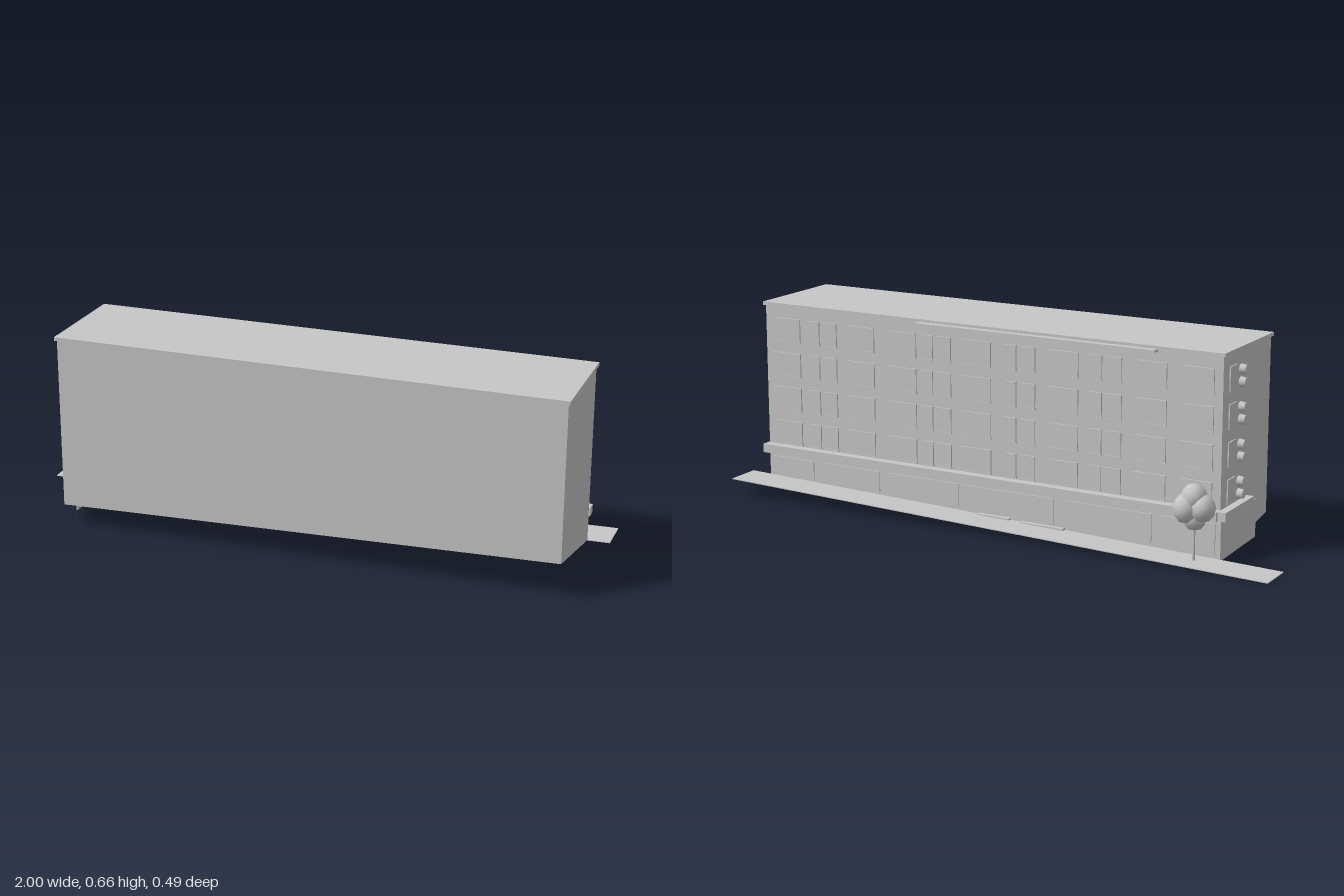
import * as THREE from 'three';

export function createModel() {
  const root = new THREE.Group();
  const grey = new THREE.MeshStandardMaterial({ color: 0xc6c6c6 });
  grey.name = 'plain grey';

  const add = (name, geometry, parent = root) => {
    const mesh = new THREE.Mesh(geometry, grey);
    mesh.name = name;
    parent.add(mesh);
    return mesh;
  };
  const group = (name) => {
    const g = new THREE.Group();
    g.name = name;
    root.add(g);
    return g;
  };
  // Box given by its two extreme corners
  const span = (x0, x1, y0, y1, z0, z1) =>
    new THREE.BoxGeometry(x1 - x0, y1 - y0, z1 - z0)
      .translate((x0 + x1) / 2, (y0 + y1) / 2, (z0 + z1) / 2);
  // Move every vertex height by a rule
  const reshape = (geometry, rule) => {
    const p = geometry.attributes.position;
    for (let i = 0; i < p.count; i++) p.setY(i, rule(p.getX(i), p.getY(i), p.getZ(i)));
    geometry.computeVertexNormals();
    return geometry;
  };
  const pavementY = (x) => 0.03 + 0.026 * x;

  // Main block, its underside following the hillside
  add('buildingBody', reshape(span(-0.785, 0.925, 0, 0.655, -0.125, 0.24), (x, y, z) => {
    if (y > 0.3) return y;
    if (z > 0) return x > 0 ? 0.127 : 0.072;
    return x > 0 ? 0.054 : 0.01;
  }));
  add('roofSlab', span(-0.792, 0.932, 0.655, 0.667, -0.132, 0.247));
  add('roofCanopy', span(-0.565, 0.305, 0.65, 0.658, -0.156, -0.125));

  // Sloping pavement along the back
  add('pavement', reshape(span(-1, 1, -0.0015, 0.0015, -0.247, -0.125),
    (x, y) => pavementY(x) + y));

  // Ledge above the ground floor, wrapping round the corner
  add('backLedge', span(-0.785, 0.93, 0.14, 0.17, -0.157, -0.123));
  add('sideLedge', span(-0.812, -0.783, 0.14, 0.17, -0.145, 0.075));

  // Low wall reaching down the slope at the side
  add('sideBaseWall', reshape(span(-0.788, -0.784, 0, 0.14, -0.125, 0.148),
    (x, y, z) => (y > 0.1 ? y : z > 0 ? 0.013 : 0.005)));

  // Back windows: four floors of eleven bays, some split in two
  const windows = group('backWindows');
  const bays = [0.84, 0.69, 0.54, 0.375, 0.24, 0.09, -0.075, -0.23, -0.385, -0.54, -0.7];
  const splitBays = [1, 4, 6, 8];
  const floors = [0.175, 0.295, 0.415, 0.535];
  const backWindow = (x, width, y) => {
    add('windowPane', span(x - width / 2, x + width / 2, y, y + 0.081, -0.13, -0.124), windows);
    add('windowSill', span(x - width / 2 - 0.002, x + width / 2 + 0.002, y - 0.002, y + 0.002,
      -0.132, -0.124), windows);
  };
  for (const y of floors) {
    bays.forEach((x, i) => {
      if (splitBays.includes(i)) {
        backWindow(x + 0.036, 0.042, y);
        backWindow(x - 0.026, 0.058, y);
      } else backWindow(x, 0.112, y);
    });
  }

  // Side windows and the paired round vents beside them
  const side = group('sideFittings');
  for (const y of floors) {
    add('sideWindow', span(-0.789, -0.784, y, y + 0.081, -0.08, -0.025), side);
    for (const dy of [0.017, 0.058]) {
      add('roundVent', new THREE.CylinderGeometry(0.014, 0.017, 0.02, 16)
        .rotateZ(Math.PI / 2).translate(-0.795, y + dy, 0.008), side);
    }
  }

  // Ground floor shopfronts with feet parallel to the pavement
  const shops = group('shopfronts');
  for (const [x0, x1] of [[0.74, 0.91], [0.47, 0.7], [0.16, 0.43], [-0.2, 0.14], [-0.55, -0.24], [-0.77, -0.58]]) {
    add('shopPanel', reshape(span(x0, x1, 0, 0.12, -0.129, -0.124),
      (x, y) => (y > 0.06 ? 0.125 : pavementY(x) + 0.012)), shops);
  }

  // Entrance steps let into the pavement
  add('entranceStep', span(-0.24, -0.08, 0.018, 0.032, -0.14, -0.125));
  add('entranceStep', span(-0.04, 0.08, 0.012, 0.037, -0.14, -0.125));

  // Faceted street tree
  const tree = group('tree');
  add('treeTrunk', new THREE.CylinderGeometry(0.004, 0.005, 0.13, 8)
    .translate(-0.72, 0.075, -0.175), tree);
  for (const [x, y, z, rx, ry, rz] of [
    [-0.698, 0.181, -0.187, 0.042, 0.05, 0.047],
    [-0.718, 0.215, -0.175, 0.042, 0.046, 0.044],
    [-0.75, 0.185, -0.178, 0.04, 0.045, 0.043],
    [-0.718, 0.147, -0.168, 0.037, 0.04, 0.04],
  ]) {
    add('treeCrown', new THREE.IcosahedronGeometry(1, 1)
      .scale(rx, ry, rz).translate(x, y, z), tree);
  }
  return root;
}
